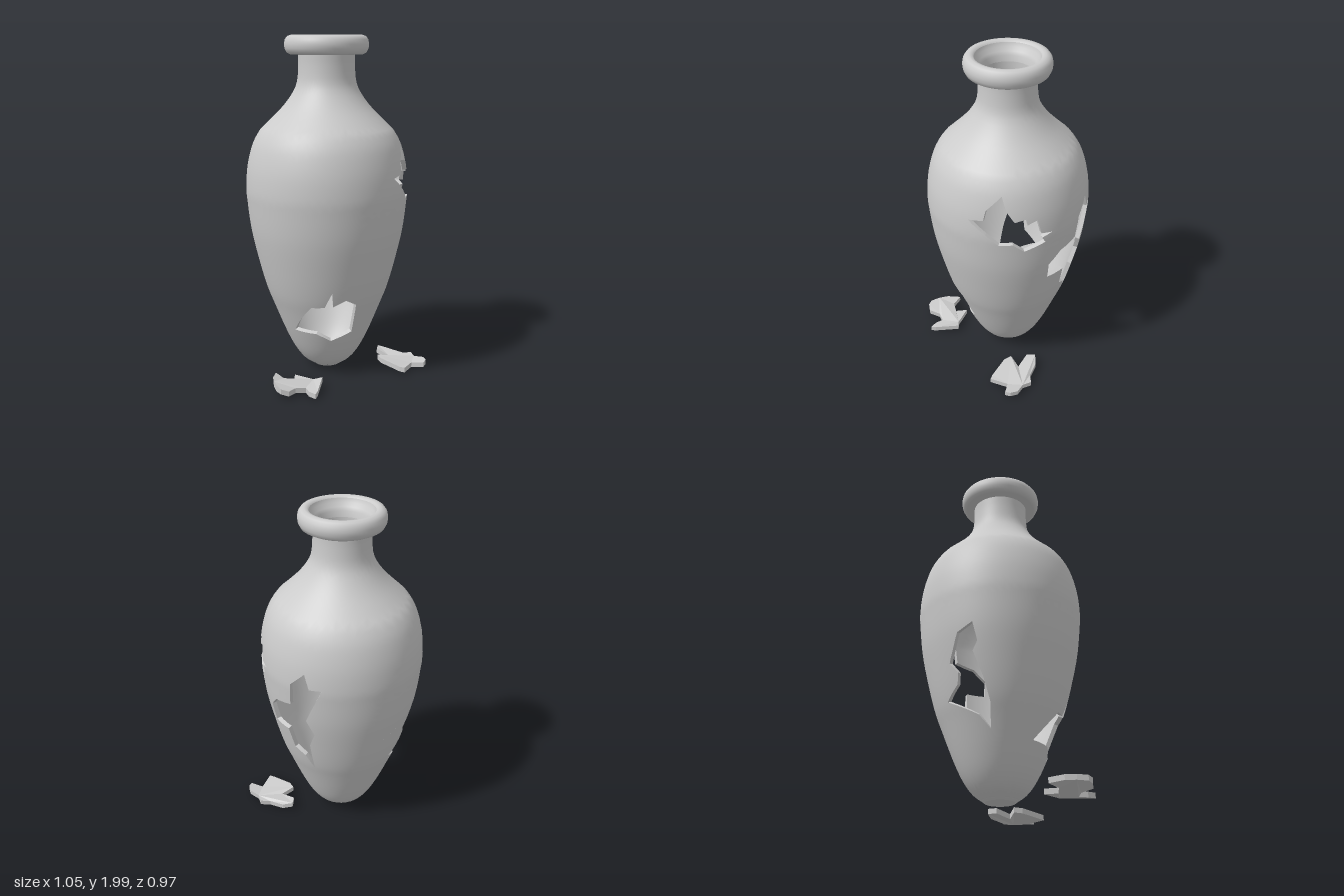
import * as THREE from 'three';

const CX = -0.05, CZ = -0.01;   // vase axis
const WALL = 0.025;             // wall thickness
const Y0 = 0.03, Y1 = 1.892;    // extent of the wall between base and lip
const DEG = Math.PI / 180;

const grey = new THREE.MeshStandardMaterial({ color: 0xcccccc });
const greyDouble = new THREE.MeshStandardMaterial({ color: 0xcccccc, side: THREE.DoubleSide });

const v2 = (pts) => pts.map(([x, y]) => new THREE.Vector2(x, y));

// Outer profile of the wall: radius, height
const profile = new THREE.SplineCurve(v2([
  [0.1, 0.03], [0.153, 0.07], [0.206, 0.145], [0.259, 0.256], [0.322, 0.414], [0.364, 0.525],
  [0.406, 0.678], [0.449, 0.873], [0.47, 1.047], [0.475, 1.137], [0.464, 1.26], [0.433, 1.38],
  [0.39, 1.46], [0.354, 1.496], [0.26, 1.59], [0.2, 1.67], [0.172, 1.733], [0.163, 1.82], [0.163, 1.892],
])).getPoints(300);

function radius(y) {
  let i = 1;
  while (i < profile.length - 1 && profile[i].y < y) i++;
  const a = profile[i - 1], b = profile[i];
  return a.x + (b.x - a.x) * (y - a.y) / (b.y - a.y);
}

// Point and normal on the wall at angle u (0 = front, 90 degrees = +x) and height y
function wallPoint([u, y], depth) {
  const lo = Math.max(Y0, y - 0.015), hi = Math.min(Y1, y + 0.015);
  const slope = (radius(hi) - radius(lo)) / (hi - lo);
  const len = Math.hypot(1, slope);
  const nr = 1 / len, ny = -slope / len;
  const r = radius(y) - depth * nr;
  return {
    p: [r * Math.sin(u), y - depth * ny, r * Math.cos(u)],
    n: [nr * Math.sin(u), ny, nr * Math.cos(u)],
  };
}

// Outlines of the broken openings, as [angle, height]
const frontHole = [
  [-0.092, 0.583], [-0.082, 0.493], [-0.008, 0.53], [0.055, 0.493], [0.045, 0.303],
  [-0.077, 0.25], [-0.161, 0.298], [-0.272, 0.303], [-0.203, 0.483], [-0.129, 0.488],
].map(([x, y]) => [Math.asin((x - CX) / radius(y)), y]);

const shoulderHole = [
  [0.169, 1.38], [0.153, 1.295], [0.116, 1.232], [0.053, 1.248], [0.047, 1.21], [-0.01, 1.232],
  [-0.032, 1.143], [-0.1, 1.132], [-0.037, 1.112], [-0.058, 1.074], [0.063, 1.032], [0.127, 1.085],
  [0.2, 1.08], [0.264, 1.143], [0.338, 1.22], [0.27, 1.232], [0.253, 1.295],
].map(([z, y]) => [Math.PI / 2 - Math.asin((z - CZ) / radius(y)), y]);

const backLeftHole = [
  [48.5, 1.216], [52, 1.127], [61, 1.132], [48, 0.9], [53.6, 0.8], [48, 0.7], [48, 0.493], [41, 0.59],
  [31, 0.63], [28.5, 0.77], [12, 0.77], [11, 0.88], [20.5, 0.958], [36, 0.985], [37.4, 1.127],
].map(([a, y]) => [(90 + a) * DEG, y]);

const backRightHole = [
  [33, 0.853], [26.5, 0.875], [21, 0.897], [18, 0.79], [22, 0.74], [15, 0.6], [10, 0.47], [11, 0.34],
  [22, 0.415], [53, 0.51], [38, 0.58], [36, 0.64], [43, 0.7], [38, 0.77],
].map(([a, y]) => [(270 - a) * DEG, y]);

const holes = [frontHole, shoulderHole, backLeftHole, backRightHole];

// Edges longer than this are halved, so the flat pattern follows the curved wall
const MAX_EDGE = 0.06;
const dist = (a, b) => Math.hypot((a[0] - b[0]) * 0.45, a[1] - b[1]);
const mid = (a, b) => [(a[0] + b[0]) / 2, (a[1] + b[1]) / 2];

function splitTriangle(a, b, c, out) {
  const ab = dist(a, b), bc = dist(b, c), ca = dist(c, a);
  const longest = Math.max(ab, bc, ca);
  if (longest <= MAX_EDGE) { out.push([a, b, c]); return; }
  if (bc === longest) [a, b, c] = [b, c, a];
  else if (ca === longest) [a, b, c] = [c, a, b];
  const m = mid(a, b);
  splitTriangle(a, m, c, out);
  splitTriangle(m, b, c, out);
}

function splitEdge(a, b, out) {
  if (dist(a, b) <= MAX_EDGE) { out.push([a, b]); return; }
  const m = mid(a, b);
  splitEdge(a, m, out);
  splitEdge(m, b, out);
}

function wallGeometry(triangles, depth, inward) {
  const pos = [], nor = [];
  for (const [a, b, c] of triangles) {
    for (const q of inward ? [a, c, b] : [a, b, c]) {
      const { p, n } = wallPoint(q, depth);
      pos.push(...p);
      nor.push(...n.map((k) => (inward ? -k : k)));
    }
  }
  const g = new THREE.BufferGeometry();
  g.setAttribute('position', new THREE.Float32BufferAttribute(pos, 3));
  g.setAttribute('normal', new THREE.Float32BufferAttribute(nor, 3));
  return g;
}

// Broken thickness around one opening
function breakGeometry(hole) {
  const edges = [], pos = [];
  hole.forEach((a, i) => splitEdge(a, hole[(i + 1) % hole.length], edges));
  for (const [a, b] of edges) {
    const [oa, ob] = [a, b].map((q) => wallPoint(q, 0).p);
    const [ia, ib] = [a, b].map((q) => wallPoint(q, WALL).p);
    pos.push(...oa, ...ob, ...ib, ...oa, ...ib, ...ia);
  }
  const g = new THREE.BufferGeometry();
  g.setAttribute('position', new THREE.Float32BufferAttribute(pos, 3));
  g.computeVertexNormals();
  return g;
}

// Fallen piece: a flat outline [x, z] bent by a height rule
function shardGeometry(outline, lift) {
  const g = new THREE.ExtrudeGeometry(new THREE.Shape(v2(outline)), { depth: 0.03, bevelEnabled: false });
  g.rotateX(Math.PI / 2).translate(0, 0.03, 0);
  const p = g.attributes.position;
  for (let i = 0; i < p.count; i++) p.setY(i, p.getY(i) + lift(p.getX(i), p.getZ(i)));
  g.computeVertexNormals();
  return g;
}

export function createModel() {
  const model = new THREE.Group();
  model.name = 'brokenVase';
  const vase = new THREE.Group();
  vase.name = 'vase';
  vase.position.set(CX, 0, CZ);
  model.add(vase);
  const add = (parent, name, geometry, material = grey) => {
    const mesh = new THREE.Mesh(geometry, material);
    mesh.name = name;
    parent.add(mesh);
  };

  // Wall with openings, unrolled and triangulated
  const u0 = -70 * DEG, u1 = 290 * DEG;
  const contour = [[u0, Y0], [u1, Y0], [u1, Y1], [u0, Y1]];
  const points = [contour, ...holes].flat();
  const triangles = [];
  for (const [i, j, k] of THREE.ShapeUtils.triangulateShape(v2(contour), holes.map(v2))) {
    const [a, b, c] = [points[i], points[j], points[k]];
    const ccw = (b[0] - a[0]) * (c[1] - a[1]) - (b[1] - a[1]) * (c[0] - a[0]) > 0;
    splitTriangle(a, ccw ? b : c, ccw ? c : b, triangles);
  }
  add(vase, 'outerWall', wallGeometry(triangles, 0, false));
  add(vase, 'innerWall', wallGeometry(triangles, WALL, true));
  holes.forEach((hole, i) => add(vase, `brokenEdge${i + 1}`, breakGeometry(hole), greyDouble));

  // Rolled lip, foot and inside floor
  const lathe = (pts) => new THREE.LatheGeometry(v2(pts), 64);
  add(vase, 'lip', lathe([
    [0.163, 1.892], [0.21, 1.892], [0.229, 1.902], [0.24, 1.925], [0.243, 1.95], [0.238, 1.975],
    [0.225, 1.993], [0.205, 2], [0.188, 1.997], [0.18, 1.988],
  ]));
  add(vase, 'mouth', lathe([[0.18, 1.988], [0.172, 1.965], [0.155, 1.945], [0.145, 1.925], [0.138, 1.892]]));
  add(vase, 'foot', lathe([[0, 0.018], [0.084, 0.018], [0.085, 0.018], [0.1, 0.03]]));
  const inner = wallPoint([0, Y0], WALL).p;
  add(vase, 'floor', lathe([[inner[2], inner[1]], [0, inner[1]]]));

  // Fallen shards on the ground
  add(model, 'rightShard', shardGeometry([
    [-0.425, 0.3], [-0.428, 0.36], [-0.422, 0.42], [-0.4, 0.444], [-0.355, 0.45], [-0.31, 0.395],
    [-0.25, 0.39], [-0.24, 0.44], [-0.21, 0.483], [-0.193, 0.455], [-0.14, 0.312], [-0.19, 0.296],
    [-0.286, 0.208], [-0.3, 0.28], [-0.36, 0.276], [-0.4, 0.22],
  ], (x) => 0.008 + 2 * (x + 0.24) ** 2 * (x < -0.24 ? 0.6 : 1)));
  add(model, 'leftShard', shardGeometry([
    [0.42, 0.017], [0.479, 0.031], [0.482, 0.088], [0.527, 0.138], [0.527, 0.186], [0.504, 0.212],
    [0.44, 0.172], [0.371, 0.26], [0.346, 0.24], [0.26, 0.13], [0.25, 0.08], [0.33, 0.06],
    [0.27, -0.02], [0.29, -0.07], [0.35, -0.05],
  ], (x, z) => 0.005 + 1.2 * (x - 0.41) ** 2 + 0.4 * (z - 0.1) ** 2));
  return model;
}
